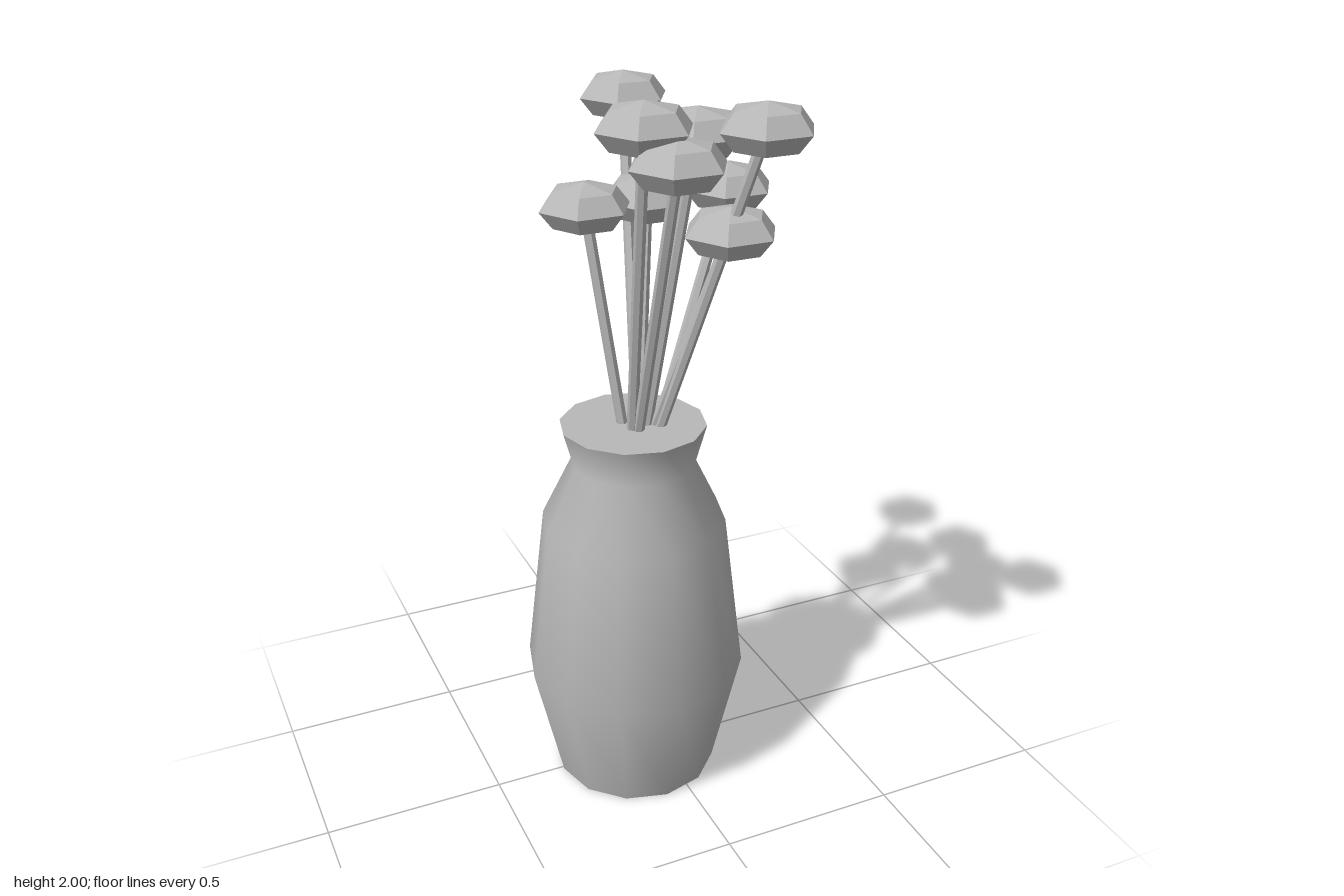
import * as THREE from 'three';

export function createModel() {
  const group = new THREE.Group();
  group.name = 'vaseWithFlowers';
  const grey = new THREE.MeshStandardMaterial({ color: 0xb8b8b8 });
  grey.name = 'grey';
  const greyFacets = new THREE.MeshStandardMaterial({ color: 0xb8b8b8, flatShading: true });
  greyFacets.name = 'grey faceted';

  const add = (parent, name, geometry, material) => {
    const mesh = new THREE.Mesh(geometry, material);
    mesh.name = name;
    parent.add(mesh);
    return mesh;
  };

  // Vase: twelve-sided smooth body, closed flat at both ends
  const vase = new THREE.Group();
  vase.name = 'vase';
  vase.position.set(-0.07, 0, 0.01);
  group.add(vase);
  const profile = [[0.23, 0], [0.31, 0.35], [0.255, 0.805], [0.17, 0.98], [0.2, 1.09]]
    .map(([r, y]) => new THREE.Vector2(r, y));
  add(vase, 'vaseBody', new THREE.LatheGeometry(profile, 12), grey);
  const base = add(vase, 'vaseBase', new THREE.CircleGeometry(0.23, 12), grey);
  base.rotation.x = Math.PI / 2;
  const top = add(vase, 'vaseTop', new THREE.CircleGeometry(0.2, 12), grey);
  top.rotation.x = -Math.PI / 2;
  top.position.y = 1.09;

  // Flower heads: flattened six-sided balls at the ends of thin stems
  const headGeometry = new THREE.SphereGeometry(0.124, 6, 4).scale(1, 0.53, 1);
  const heads = [
    [0.05, 1.89, -0.32], [0.257, 1.673, -0.1], [0.035, 1.66, -0.13],
    [-0.165, 1.675, -0.068], [0.043, 1.89, 0.148], [-0.134, 1.937, 0.236],
    [0.152, 1.922, 0.298], [-0.085, 1.865, 0.317], [0.113, 1.65, 0.2],
  ];
  const up = new THREE.Vector3(0, 1, 0);
  for (const [x, y, z] of heads) {
    const flower = new THREE.Group();
    flower.name = 'flower';
    group.add(flower);
    const tip = new THREE.Vector3(x, y, z);
    add(flower, 'flowerHead', headGeometry, greyFacets).position.copy(tip);

    // Stems gather towards the middle of the vase opening
    const root = new THREE.Vector3(-0.07 + 0.26 * (x + 0.07), 1.07, 0.01 + 0.14 * (z - 0.01));
    const along = tip.clone().sub(root);
    const stem = add(flower, 'stem',
      new THREE.CylinderGeometry(0.015, 0.015, along.length(), 6), greyFacets);
    stem.position.copy(root).addScaledVector(along, 0.5);
    stem.quaternion.setFromUnitVectors(up, along.normalize());
  }
  return group;
}
